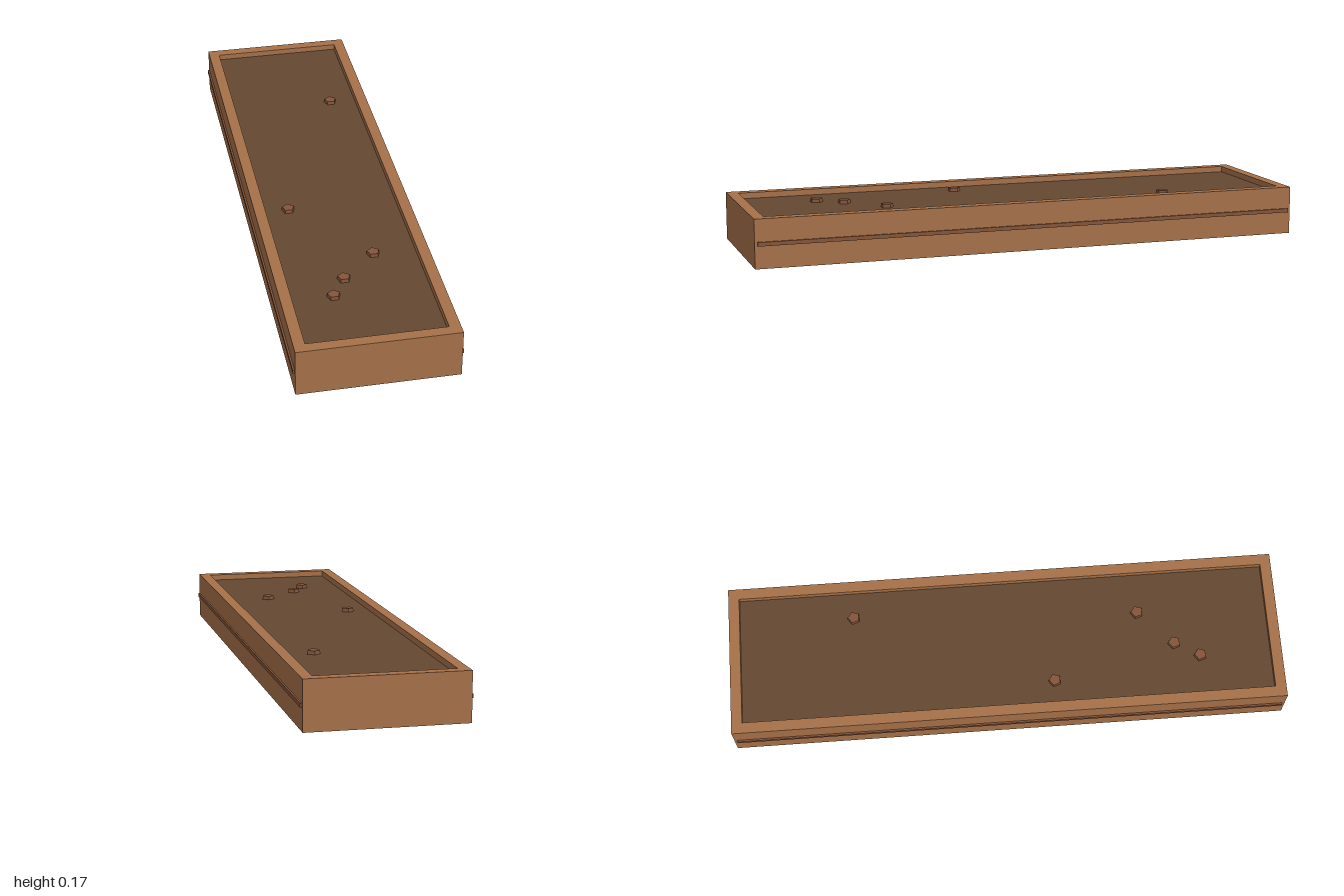
import * as THREE from 'three';

const W = 0.277, L = 1, H = 0.173, WALL = 0.039, SOIL_Y = 0.152;

// Drops the triangles whose three corners all pass the test
function withoutFaces(source, test) {
  const g = source.index ? source.toNonIndexed() : source;
  const p = g.attributes.position, kept = [], v = new THREE.Vector3();
  for (let i = 0; i < p.count; i += 3) {
    const drop = [0, 1, 2].every(k => test(v.fromBufferAttribute(p, i + k)));
    if (!drop) for (let k = 0; k < 3; k++) kept.push(...v.fromBufferAttribute(p, i + k).toArray());
  }
  const out = new THREE.BufferGeometry();
  out.setAttribute('position', new THREE.Float32BufferAttribute(kept, 3));
  out.computeVertexNormals();
  return out;
}

const rectangle = (Type, w, l) => new Type(
  [[-w, -l], [w, -l], [w, l], [-w, l]].map(([x, y]) => new THREE.Vector2(x, y)));

export function createModel() {
  const model = new THREE.Group();
  model.name = 'planterBox';

  const material = (name, color) => {
    const m = new THREE.MeshStandardMaterial({ color, side: THREE.DoubleSide });
    m.name = name;
    return m;
  };
  const wood = material('wood', 0xa67149);
  const darkWood = material('darkWood', 0x85543a);
  const earth = material('earth', 0x644832);

  const add = (name, geometry, mat, x = 0, y = 0, z = 0) => {
    const mesh = new THREE.Mesh(geometry, mat);
    mesh.name = name;
    mesh.position.set(x, y, z);
    model.add(mesh);
    return mesh;
  };

  // Hollow frame, open underneath
  const outline = rectangle(THREE.Shape, W, L);
  outline.holes.push(rectangle(THREE.Path, W - WALL, L - WALL));
  const frame = new THREE.ExtrudeGeometry(outline, { depth: H, bevelEnabled: false });
  frame.rotateX(-Math.PI / 2);
  add('frame', withoutFaces(frame, v => v.y < 1e-4), wood);

  // Soil shell: top and long sides, just inside the frame
  const soilLength = 2 * (L - WALL);
  const soil = new THREE.BoxGeometry(2 * (W - WALL) - 0.002, SOIL_Y, soilLength);
  soil.translate(0, SOIL_Y / 2, 0);
  const isEnd = s => v => s * v.z > soilLength / 2 - 1e-4;
  let shell = withoutFaces(soil, v => v.y < 1e-4);
  for (const s of [-1, 1]) shell = withoutFaces(shell, isEnd(s));
  add('soil', shell, earth);

  // Thin rail along each long side
  for (const s of [-1, 1])
    add(s > 0 ? 'leftRail' : 'rightRail',
      new THREE.BoxGeometry(0.012, 0.014, 1.98), darkWood, s * (W + 0.0005), 0.0865, 0);

  // Five-sided pebbles set through the soil, open underneath
  const height = 0.026;
  const pebble = withoutFaces(new THREE.CylinderGeometry(0.022, 0.026, height, 5),
    v => v.y < -height / 2 + 1e-4);
  pebble.rotateY(Math.PI);
  pebble.computeVertexNormals();
  const spots = [[0.14, -0.545], [-0.153, 0.17], [0.088, 0.49], [-0.04, 0.615], [-0.093, 0.705]];
  spots.forEach(([x, z], i) => add(`pebble${i + 1}`, pebble, darkWood, x, SOIL_Y, z));

  return model;
}
